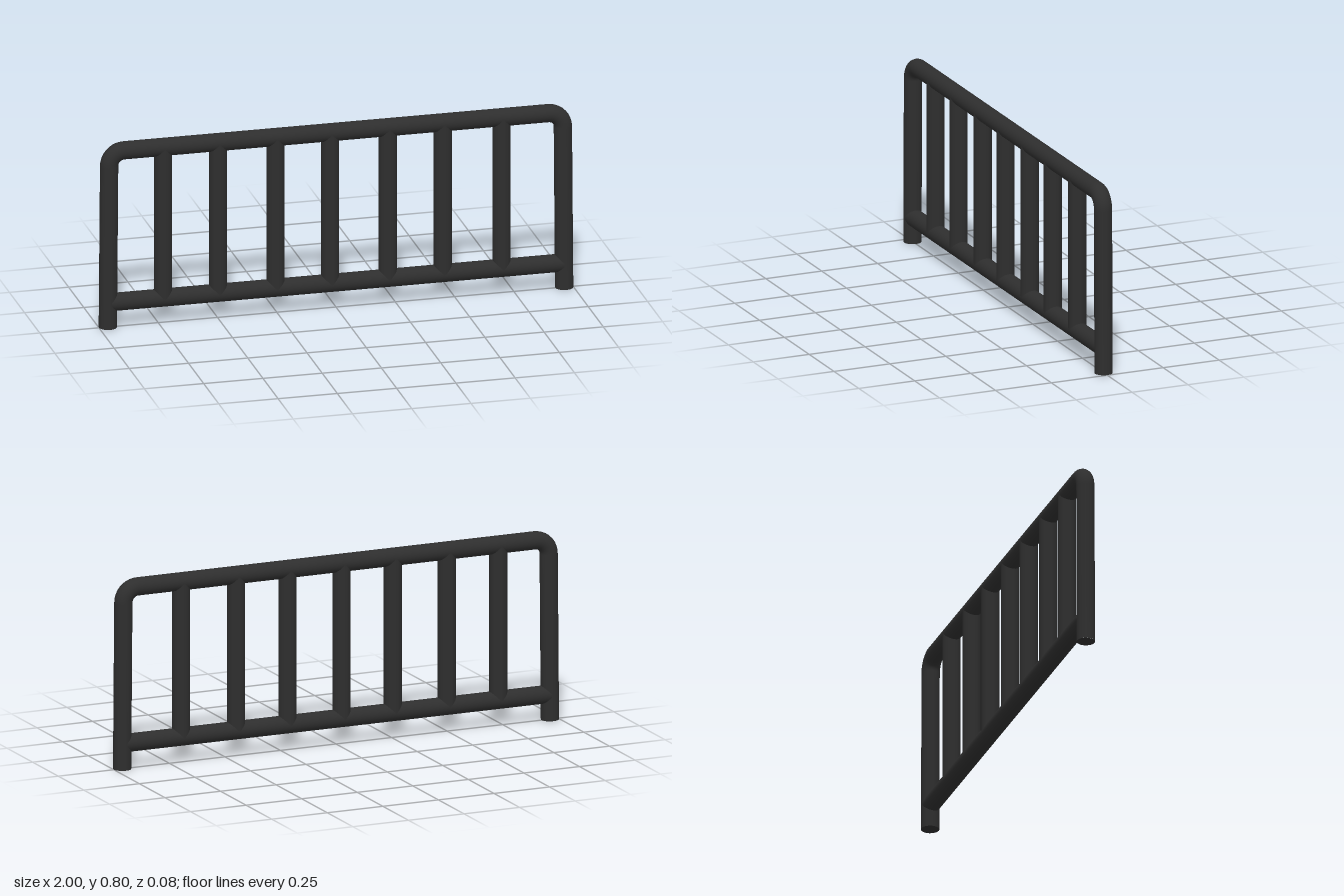
import * as THREE from 'three';

const R = 0.0375; // tube radius shared by every part
const TOP = 0.7625; // centre height of the top rail
const RAIL = 0.107; // centre height of the bottom rail
const FOOT = 0.9625; // the legs splay very slightly outward
const SHOULDER = 0.957;
const BEND = 0.062;

export function createModel() {
  const group = new THREE.Group();
  const material = new THREE.MeshStandardMaterial({ color: 0x2e2e2e });

  const add = (name, geometry, x = 0, y = 0) => {
    const mesh = new THREE.Mesh(geometry, material);
    mesh.name = name;
    mesh.position.set(x, y, 0);
    group.add(mesh);
    return mesh;
  };

  // Bent tube: left leg, top rail and right leg in one sweep
  const v = (x, y) => new THREE.Vector3(x, y, 0);
  const k = BEND * 0.448; // cubic handle inset for a round quarter bend
  const path = new THREE.CurvePath();
  path.add(new THREE.LineCurve3(v(-FOOT, 0), v(-SHOULDER, TOP - BEND)));
  path.add(new THREE.CubicBezierCurve3(
    v(-SHOULDER, TOP - BEND), v(-SHOULDER, TOP - k),
    v(-SHOULDER + k, TOP), v(-SHOULDER + BEND, TOP)));
  path.add(new THREE.LineCurve3(v(-SHOULDER + BEND, TOP), v(SHOULDER - BEND, TOP)));
  path.add(new THREE.CubicBezierCurve3(
    v(SHOULDER - BEND, TOP), v(SHOULDER - k, TOP),
    v(SHOULDER, TOP - k), v(SHOULDER, TOP - BEND)));
  path.add(new THREE.LineCurve3(v(SHOULDER, TOP - BEND), v(FOOT, 0)));
  add('frame', new THREE.TubeGeometry(path, 300, R, 24));

  // Flat caps closing the feet
  for (const side of [-1, 1]) {
    const cap = add(side > 0 ? 'leftFootCap' : 'rightFootCap',
      new THREE.CircleGeometry(R, 24), side * FOOT);
    cap.rotation.x = Math.PI / 2;
  }

  // Bottom rail, running into the legs
  const rail = add('bottomRail',
    new THREE.CylinderGeometry(R, R, 2 * 0.955, 24), 0, RAIL);
  rail.rotation.z = Math.PI / 2;

  // Upright bars, slightly uneven in spacing
  const bars = [-0.73, -0.498, -0.255, -0.025, 0.218, 0.45, 0.698];
  bars.forEach((x, i) => add(`bar${i + 1}`,
    new THREE.CylinderGeometry(R, R, TOP - RAIL, 24), x, (TOP + RAIL) / 2));

  return group;
}
